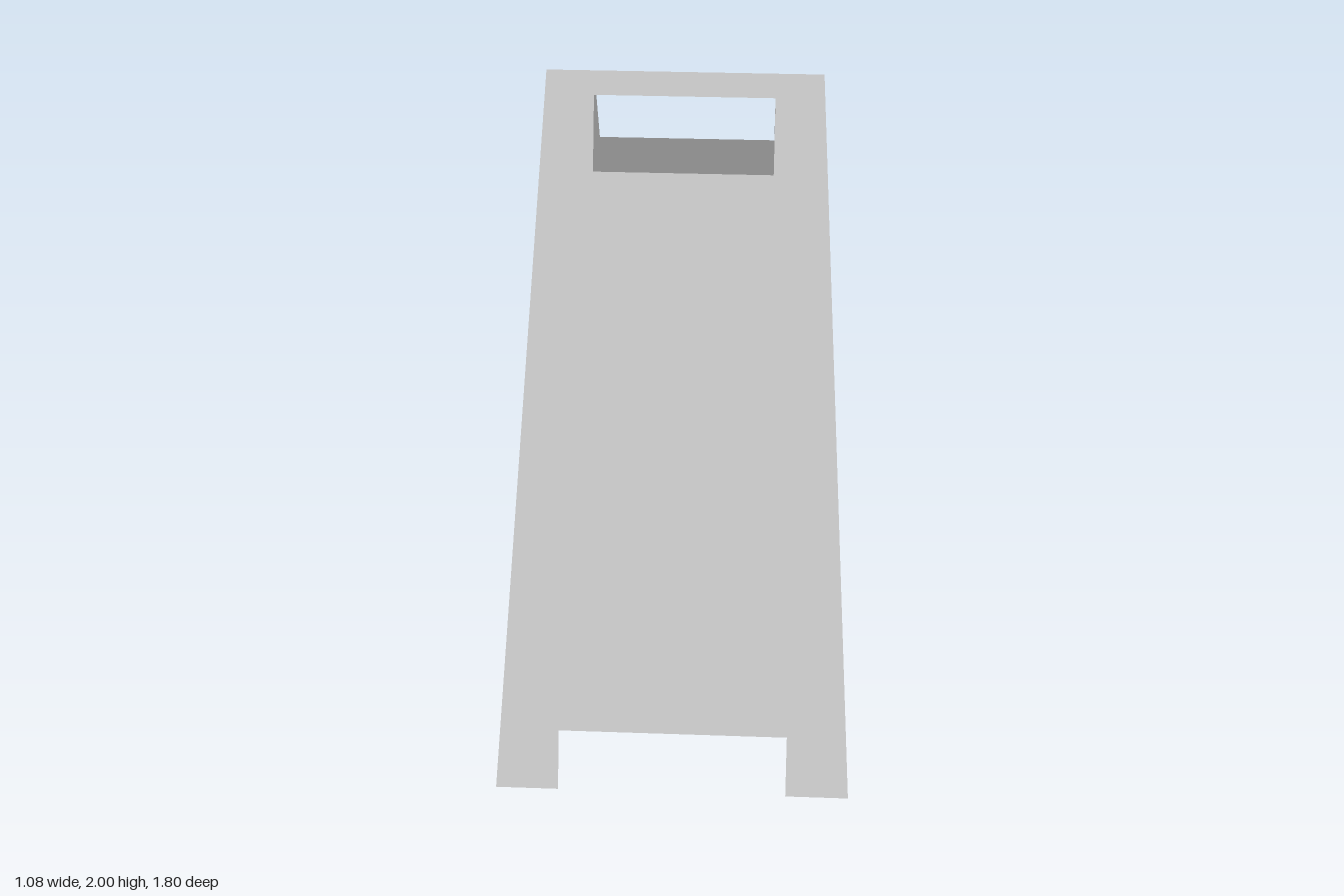
import * as THREE from 'three';

const HEIGHT = 2;
const SPREAD = 0.9; // distance of each foot line from the centre

// Tapered board outline with two feet and a hand hole
function boardShape() {
  const half = [[0.35, 0.17], [0.35, 0], [0.542, 0], [0.408, HEIGHT]];
  const mirrored = half.map(([x, y]) => [-x, y]).reverse();
  const toPoints = (list) => list.map(([x, y]) => new THREE.Vector2(x, y));
  const shape = new THREE.Shape(toPoints([...half, ...mirrored]));
  const hx = 0.267, y0 = 1.73, y1 = 1.935;
  shape.holes.push(new THREE.Path(toPoints([[-hx, y0], [-hx, y1], [hx, y1], [hx, y0]])));
  return shape;
}

// Thin sheet leaning from the ridge (z = 0) out to its feet
function leaningBoard() {
  const geometry = new THREE.ShapeGeometry(boardShape());
  const pos = geometry.attributes.position;
  for (let i = 0; i < pos.count; i++) {
    pos.setZ(i, SPREAD * (1 - pos.getY(i) / HEIGHT));
  }
  geometry.computeVertexNormals();
  return geometry;
}

export function createModel() {
  const group = new THREE.Group();
  group.name = 'foldingFloorSign';
  const material = new THREE.MeshStandardMaterial({ color: 0xcccccc, side: THREE.DoubleSide });
  const geometry = leaningBoard();

  ['frontBoard', 'backBoard'].forEach((name, i) => {
    const board = new THREE.Mesh(geometry, material);
    board.name = name;
    board.rotation.y = i * Math.PI;
    group.add(board);
  });
  return group;
}
